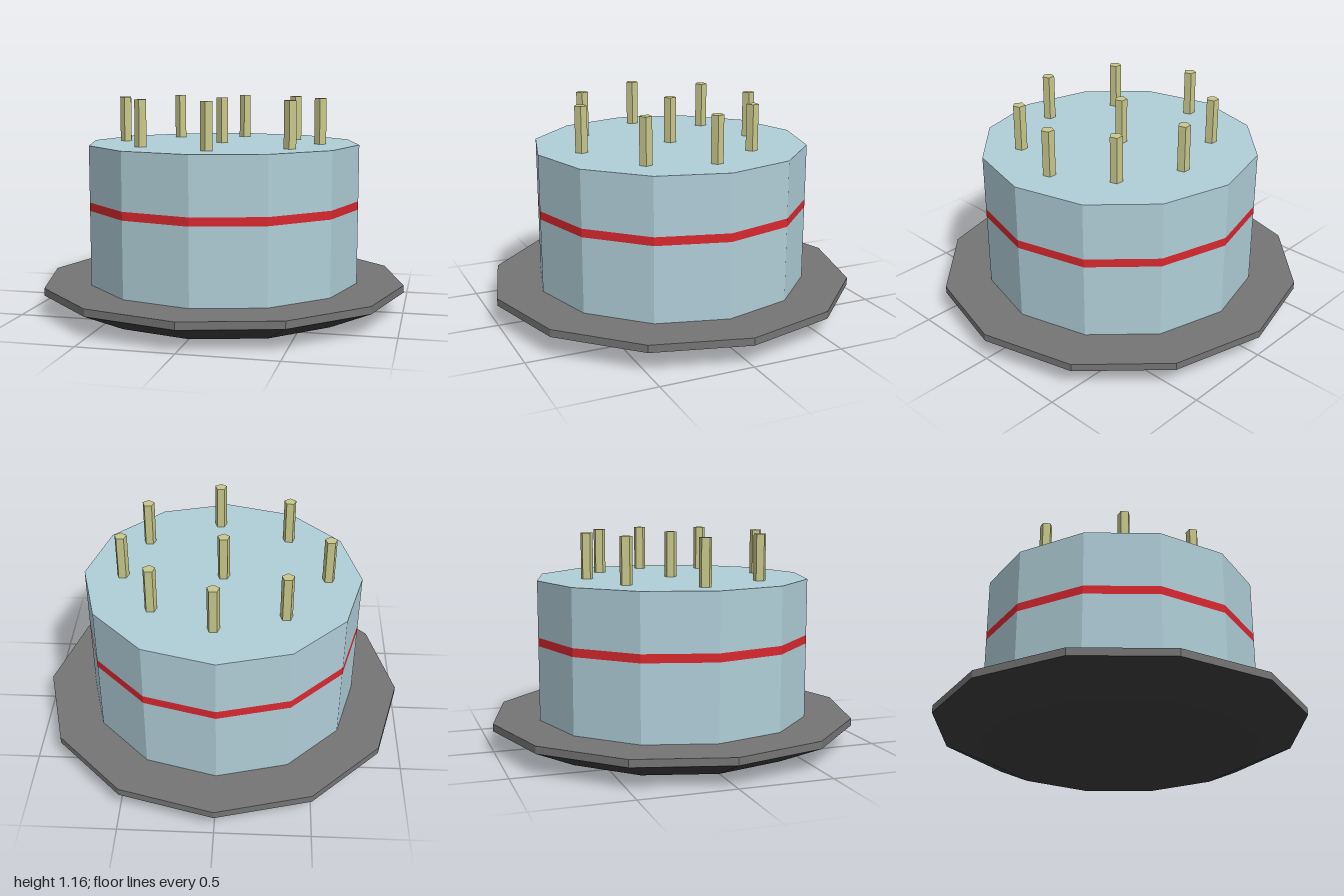
import * as THREE from 'three';

const SIDES = 12;

function material(color) {
  return new THREE.MeshStandardMaterial({ color, flatShading: true });
}

// Faceted prism or cone section between two heights
function tier(name, mat, rTop, rBottom, y0, y1, sides = SIDES, open = false) {
  const geometry = new THREE.CylinderGeometry(rTop, rBottom, y1 - y0, sides, 1, open);
  const mesh = new THREE.Mesh(geometry, mat);
  mesh.name = name;
  mesh.position.y = (y0 + y1) / 2;
  return mesh;
}

export function createModel() {
  const model = new THREE.Group();
  model.name = 'birthdayCake';

  const rimGrey = material(0x757575);
  const darkGrey = material(0x3c3c3c);
  const icing = material(0xb0ced8);
  const red = material(0xd8282f);
  const wax = material(0xc8c88c);

  // Plate: sloped dark underside with a thin grey rim
  const plate = new THREE.Group();
  plate.name = 'plate';
  plate.add(
    tier('plateUnderside', darkGrey, 1, 0.75, 0, 0.113),
    tier('plateRim', rimGrey, 1, 1, 0.113, 0.153),
  );
  model.add(plate);

  // Cake body with a flush red filling stripe
  const cake = new THREE.Group();
  cake.name = 'cake';
  cake.add(
    tier('lowerSponge', icing, 0.747, 0.747, 0.153, 0.56),
    tier('filling', red, 0.747, 0.747, 0.56, 0.605, SIDES, true),
    tier('upperSponge', icing, 0.747, 0.747, 0.605, 0.91),
  );
  model.add(cake);

  // Candles: one in the middle and a loose ring of eight, [x, z]
  const spots = [
    [-0.005, -0.005], [0.025, -0.47], [0.355, -0.315], [0.535, -0.02], [0.425, 0.32],
    [0.035, 0.52], [-0.355, 0.375], [-0.565, -0.01], [-0.34, -0.355],
  ];
  const candles = new THREE.Group();
  candles.name = 'candles';
  for (const [x, z] of spots) {
    const candle = tier('candle', wax, 0.034, 0.034, 0.9, 1.157, 5);
    candle.position.x = x;
    candle.position.z = z;
    candles.add(candle);
  }
  model.add(candles);

  return model;
}
